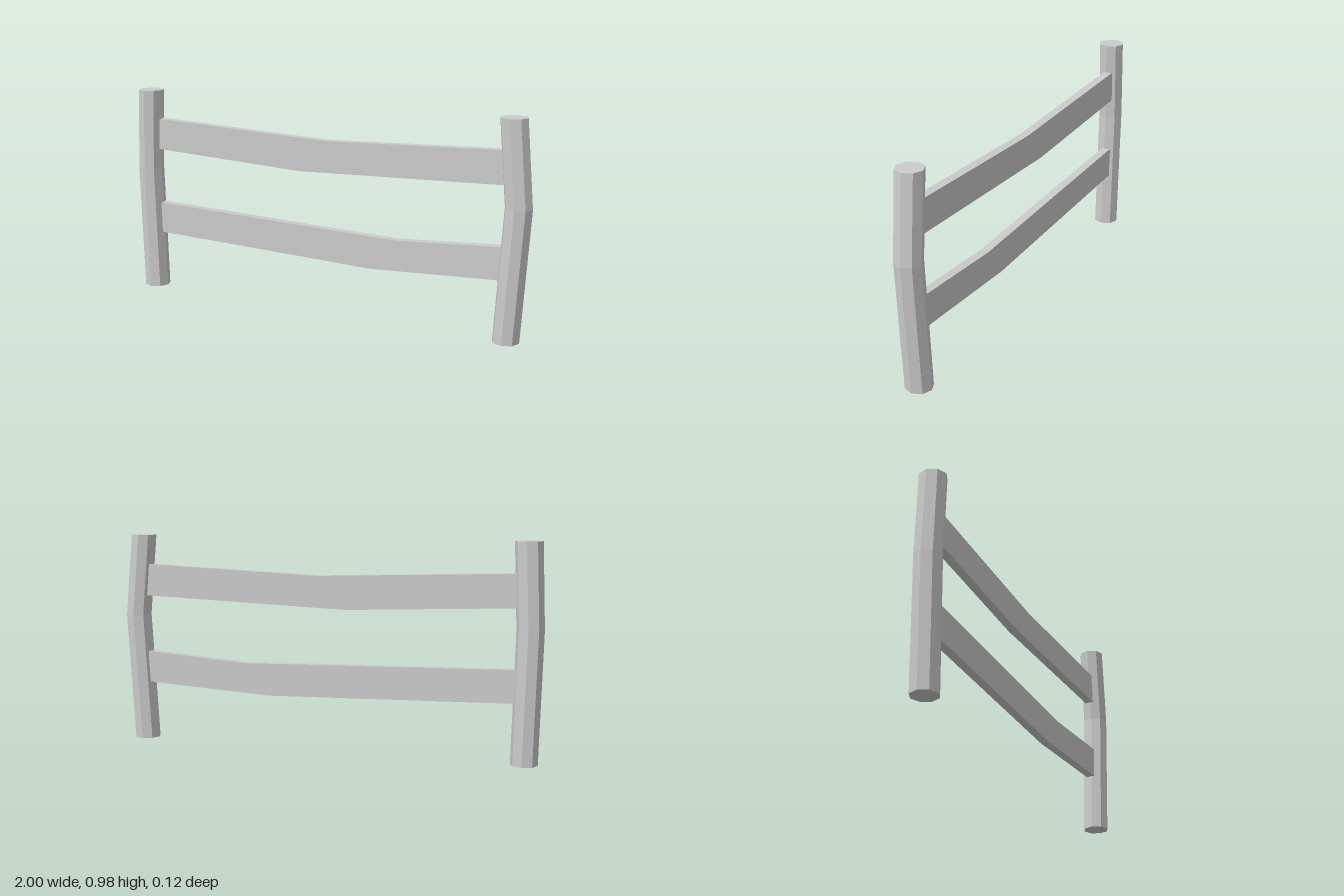
import * as THREE from 'three';

const material = new THREE.MeshStandardMaterial({ color: 0xcccccc, flatShading: true });
const HEIGHT = 0.977;
const BEND_Y = 0.595;

// Octagonal post whose middle ring is pushed sideways to form a kink
function makePost(name, endX, bendX) {
  const geo = new THREE.CylinderGeometry(0.061, 0.061, HEIGHT, 8, 2);
  const pos = geo.attributes.position;
  for (let i = 0; i < pos.count; i++) {
    const y = pos.getY(i);
    const isMiddle = Math.abs(y) < 0.01;
    pos.setX(i, pos.getX(i) + (isMiddle ? bendX : endX));
    pos.setY(i, isMiddle ? BEND_Y : y + HEIGHT / 2);
  }
  geo.computeVertexNormals();
  const post = new THREE.Mesh(geo, material);
  post.name = name;
  return post;
}

// Thin plank sagging to one low point on its upper and lower edges
function makeRail(name, upper, lower) {
  const shape = new THREE.Shape([...lower, ...upper.slice().reverse()]
    .map(([x, y]) => new THREE.Vector2(x, y)));
  const geo = new THREE.ExtrudeGeometry(shape, { depth: 0.041, bevelEnabled: false });
  geo.translate(0, 0, -0.028);
  const rail = new THREE.Mesh(geo, material);
  rail.name = name;
  return rail;
}

export function createModel() {
  const fence = new THREE.Group();
  fence.name = 'fence';
  fence.add(
    makePost('rightPost', -0.924, -0.939),
    makePost('leftPost', 0.902, 0.937),
    // Rail ends are buried inside the posts
    makeRail('upperRail',
      [[-0.91, 0.839], [0.02, 0.805], [0.91, 0.84]],
      [[-0.91, 0.691], [-0.11, 0.655], [0.91, 0.691]]),
    makeRail('lowerRail',
      [[-0.91, 0.423], [0.38, 0.388], [0.91, 0.424]],
      [[-0.91, 0.275], [0.26, 0.241], [0.91, 0.276]]),
  );
  return fence;
}
